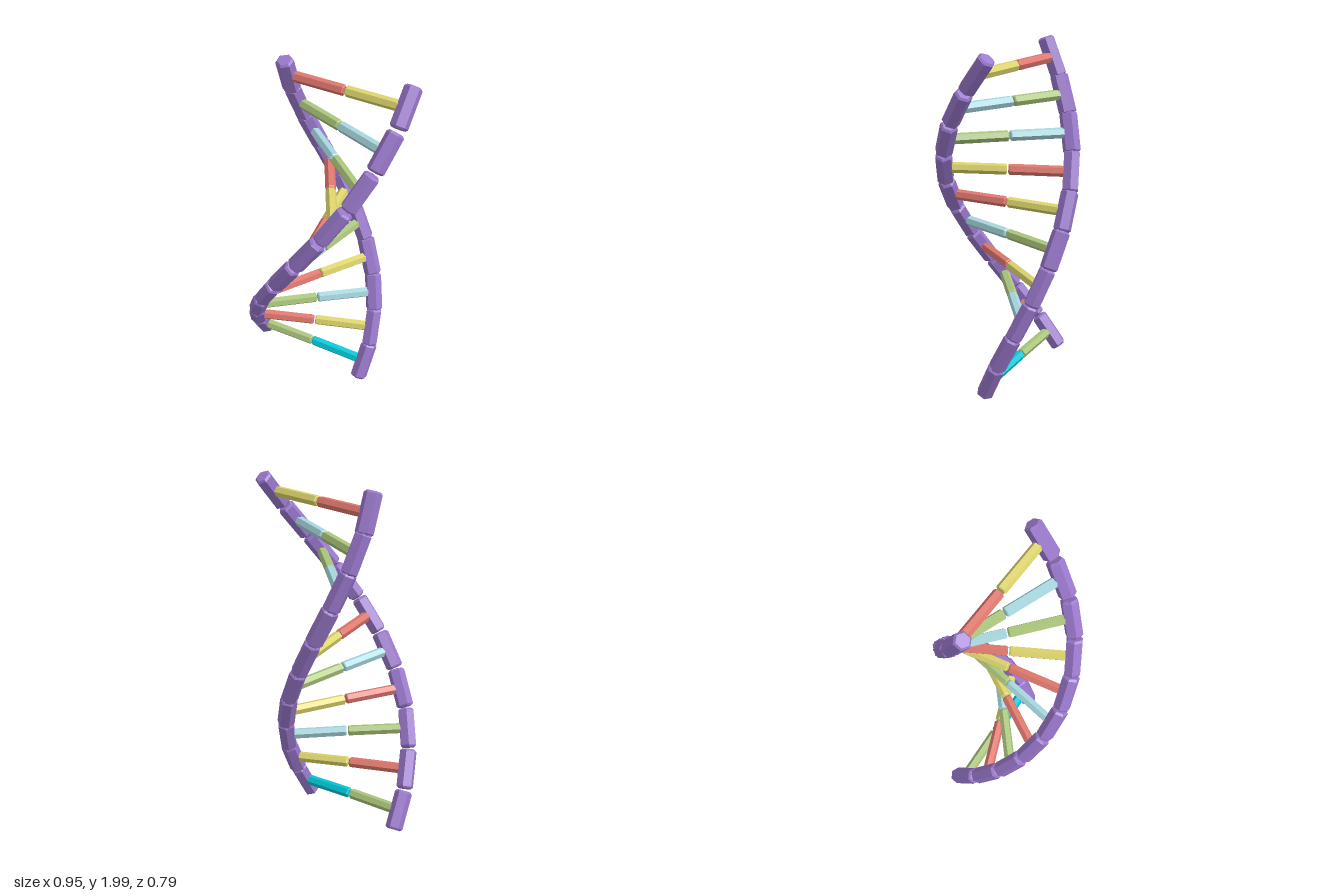
import * as THREE from 'three';

const PURPLE = 0x9a78cc, RED = 0xe0786e, YELLOW = 0xddd46c, GREEN = 0xabc67c, BLUE = 0xa8d8e0, CYAN = 0x00c8d8;

// Colour pair of each rung, bottom to top: half on strand 0, half on strand 1
const RUNGS = [
  [GREEN, CYAN], [RED, YELLOW], [GREEN, BLUE], [RED, YELLOW], [BLUE, GREEN],
  [RED, YELLOW], [YELLOW, RED], [GREEN, BLUE], [BLUE, GREEN], [YELLOW, RED],
];
const RADIUS = 0.343;

// Gently bowed axis of the double helix
function axisPoint(k) {
  return new THREE.Vector3(
    -0.078 + 0.0265 * k - 0.00095 * k * k,
    0.148 + 0.1922 * k,
    0.01 - 0.0031 * (k - 3.2) ** 2
  );
}

// Point on strand 0 or 1 at rung k; the rungs tilt slightly near the bottom
function strandPoint(k, strand) {
  const side = strand === 0 ? 1 : -1;
  const angle = THREE.MathUtils.degToRad(176 - 19.5 * k);
  const tilt = (strand === 0 ? 0.017 : -0.024) * (1 - k / 9);
  return axisPoint(k).add(new THREE.Vector3(
    side * RADIUS * Math.cos(angle), tilt, side * RADIUS * Math.sin(angle)));
}

// Hexagonal bar along y with chamfered ends
function hexBar(radius, length, chamfer) {
  const h = length / 2, inner = radius - chamfer;
  const profile = [[0, -h], [inner, -h], [radius, -h + chamfer], [radius, h - chamfer], [inner, h], [0, h]];
  return new THREE.LatheGeometry(profile.map(([x, y]) => new THREE.Vector2(x, y)), 6);
}

// Place a bar with its length along dir and one flat side facing outward
function placeBar(mesh, centre, dir, outward) {
  const y = dir.clone().normalize();
  const z = new THREE.Vector3().crossVectors(outward, y).normalize();
  const x = new THREE.Vector3().crossVectors(y, z);
  mesh.quaternion.setFromRotationMatrix(new THREE.Matrix4().makeBasis(x, y, z));
  mesh.position.copy(centre);
}

export function createModel() {
  const model = new THREE.Group();
  model.name = 'doubleHelix';

  const materials = new Map();
  const material = (color) => {
    if (!materials.has(color)) {
      materials.set(color, new THREE.MeshStandardMaterial({ color, flatShading: true }));
    }
    return materials.get(color);
  };

  const segmentGeo = hexBar(0.049, 0.224, 0.011);
  const rungGeo = hexBar(0.03, 0.305, 0.006);
  const up = new THREE.Vector3(0.26, 1, 0.1);

  for (const strand of [0, 1]) {
    const backbone = new THREE.Group();
    backbone.name = strand === 0 ? 'frontStrand' : 'backStrand';
    const rungs = new THREE.Group();
    rungs.name = strand === 0 ? 'frontRungHalves' : 'backRungHalves';

    RUNGS.forEach((colors, k) => {
      const centre = axisPoint(k);
      const p = strandPoint(k, strand);
      const outward = p.clone().sub(centre).normalize();

      // Backbone segment along the helix tangent
      const segment = new THREE.Mesh(segmentGeo, material(PURPLE));
      segment.name = 'strandSegment';
      const tangent = strandPoint(k + 0.4, strand).sub(strandPoint(k - 0.4, strand));
      placeBar(segment, p, tangent, outward);
      backbone.add(segment);

      // Half rung from the axis to the strand
      const half = new THREE.Mesh(rungGeo, material(colors[strand]));
      half.name = 'rungHalf';
      placeBar(half, centre.clone().addScaledVector(outward, 0.157), outward, up);
      rungs.add(half);
    });
    model.add(backbone, rungs);
  }
  return model;
}
